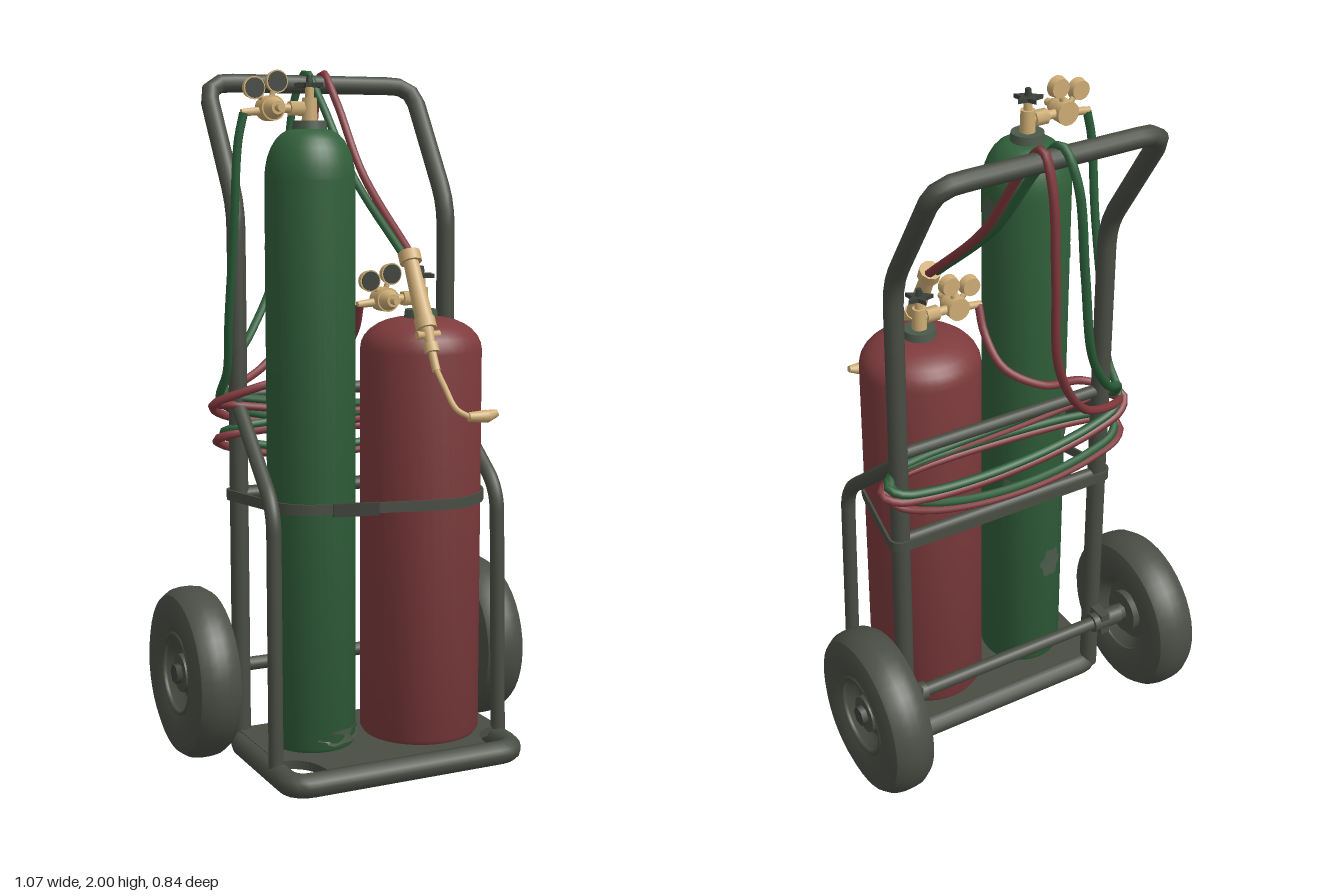
import * as THREE from 'three';
import { toCreasedNormals } from 'three/addons/utils/BufferGeometryUtils.js';

const mat = (name, color) => Object.assign(new THREE.MeshStandardMaterial({ color }), { name });
const V = (x, y, z) => new THREE.Vector3(x, y, z);

export function createModel() {
  const root = new THREE.Group();
  root.name = 'weldingCart';
  const M = {
    frame: mat('frame paint', 0x484d43),
    rubber: mat('rubber', 0x4a4e45),
    green: mat('green bottle', 0x31603b),
    red: mat('red bottle', 0x7e3b3d),
    greenHose: mat('green hose', 0x2b5e39),
    redHose: mat('red hose', 0x80383c),
    brass: mat('brass', 0xcdac74),
    dark: mat('dark fittings', 0x3b4039),
    worn: mat('worn paint', 0x4b5a4a),
  };

  const add = (name, geo, m, parent = root, x = 0, y = 0, z = 0) => {
    const mesh = new THREE.Mesh(geo, m);
    mesh.name = name;
    mesh.position.set(x, y, z);
    parent.add(mesh);
    return mesh;
  };
  // Straight round bar from a to b
  const rod = (name, a, b, r1, r2, m, parent = root, sides = 14) => {
    const mesh = add(name, new THREE.CylinderGeometry(r2, r1, a.distanceTo(b), sides), m, parent);
    mesh.position.copy(a).lerp(b, 0.5);
    mesh.quaternion.setFromUnitVectors(V(0, 1, 0), b.clone().sub(a).normalize());
    return mesh;
  };
  // Pipe through corner points, each corner rounded by a bend
  const pipe = (name, pts, r, bend, closed = false) => {
    const path = new THREE.CurvePath();
    const n = pts.length;
    const toward = (a, b) => a.clone().add(b.clone().sub(a).setLength(bend));
    let last = closed ? toward(pts[0], pts[1]) : pts[0];
    for (let i = 1; i < (closed ? n + 1 : n - 1); i++) {
      const p = pts[i % n];
      const inP = toward(p, pts[(i - 1) % n]);
      const outP = toward(p, pts[(i + 1) % n]);
      path.add(new THREE.LineCurve3(last, inP));
      path.add(new THREE.QuadraticBezierCurve3(inP, p, outP));
      last = outP;
    }
    if (!closed) path.add(new THREE.LineCurve3(last, pts[n - 1]));
    return add(name, new THREE.TubeGeometry(path, 110, r, 12, closed), M.frame);
  };

  // Base frame and plate with scooped front corners
  pipe('baseFrame', [V(-0.35, 0.042, 0.315), V(0.35, 0.042, 0.315), V(0.35, 0.042, -0.11), V(-0.35, 0.042, -0.11)], 0.034, 0.06, true);
  const plate = new THREE.Shape();
  plate.moveTo(-0.35, -0.11);
  plate.lineTo(0.35, -0.11);
  plate.lineTo(0.35, 0.2);
  plate.quadraticCurveTo(0.26, 0.2, 0.25, 0.31);
  plate.lineTo(-0.25, 0.31);
  plate.quadraticCurveTo(-0.26, 0.2, -0.35, 0.2);
  plate.closePath();
  const plateGeo = new THREE.ExtrudeGeometry(plate, { depth: 0.025, bevelEnabled: false });
  plateGeo.rotateX(Math.PI / 2);
  add('basePlate', plateGeo, M.frame, root, 0, 0.078, 0);

  // Handle, side arms and cross bars
  pipe('handle', [V(-0.335, 0.04, -0.11), V(-0.335, 1.6, -0.112), V(-0.335, 1.953, -0.342),
    V(0.335, 1.953, -0.342), V(0.335, 1.6, -0.112), V(0.335, 0.04, -0.11)], 0.027, 0.07);
  for (const s of [-1, 1]) {
    pipe('sideArm', [V(s * 0.355, 0.05, 0.2), V(s * 0.35, 0.79, 0.185), V(s * 0.335, 1.04, -0.11)], 0.021, 0.07);
    add('axleBracket', new THREE.BoxGeometry(0.03, 0.07, 0.1), M.frame, root, s * 0.335, 0.25, -0.145);
    rod('axleSleeve', V(s * 0.3, 0.25, -0.168), V(s * 0.4, 0.25, -0.168), 0.03, 0.03, M.frame);
  }
  for (const y of [0.78, 1.07]) rod('crossBar', V(-0.335, y, -0.11), V(0.335, y, -0.11), 0.018, 0.018, M.frame);
  rod('axle', V(-0.5, 0.25, -0.168), V(0.5, 0.25, -0.168), 0.02, 0.02, M.frame);

  // Wheels
  const lathe = (pts, seg = 40, crease = 0.6) =>
    toCreasedNormals(new THREE.LatheGeometry(pts.map(p => new THREE.Vector2(...p)), seg), crease);
  const half = [[0.118, 0.03], [0.122, 0.055], [0.15, 0.068], [0.195, 0.073], [0.23, 0.06], [0.246, 0.036], [0.25, 0.012]];
  const tyre = [...half.map(([r, y]) => [r, -y]), ...half.slice().reverse()];
  for (const s of [-1, 1]) {
    const wheel = new THREE.Group();
    wheel.name = 'wheel';
    wheel.position.set(s * 0.46, 0.25, -0.168);
    wheel.rotation.z = -s * Math.PI / 2;
    root.add(wheel);
    add('tyre', lathe(tyre), M.rubber, wheel);
    add('rim', lathe([[0, -0.02], [0.095, -0.02], [0.119, -0.05], [0.119, 0.05], [0.1, 0.025], [0.085, 0.015], [0, 0.02]]), M.frame, wheel);
    add('hub', new THREE.CylinderGeometry(0.055, 0.068, 0.09, 20), M.frame, wheel);
    add('hubNut', new THREE.CylinderGeometry(0.03, 0.03, 0.125, 6), M.dark, wheel);
    const ring = add('rimRing', new THREE.TorusGeometry(0.117, 0.008, 6, 36), M.frame, wheel, 0, 0.052, 0);
    ring.rotation.x = Math.PI / 2;
  }

  // Gas bottle: body, collar, valve, star knob and regulator
  const star = new THREE.Shape();
  for (let i = 0; i < 10; i++) {
    const r = i % 2 ? 0.02 : 0.042, a = i * Math.PI / 5;
    star[i ? 'lineTo' : 'moveTo'](r * Math.sin(a), r * Math.cos(a));
  }
  const starGeo = new THREE.ExtrudeGeometry(star, { depth: 0.012, bevelEnabled: false });
  starGeo.rotateX(-Math.PI / 2);
  const bottle = (name, x, z, r, top, shoulder, m) => {
    const g = new THREE.Group();
    g.name = name;
    g.position.set(x, 0, z);
    root.add(g);
    const prof = [[0, 0.077], [r - 0.008, 0.077], [r, 0.09], [r, shoulder]];
    for (let i = 1; i <= 7; i++) {
      const a = i * Math.PI / 14;
      prof.push([0.045 + (r - 0.045) * Math.cos(a), shoulder + (top - 0.02 - shoulder) * Math.sin(a)]);
    }
    prof.push([0, top - 0.02]);
    add('bottleBody', lathe(prof, 36, 0.7), m, g);
    add('collar', new THREE.CylinderGeometry(0.046, 0.05, 0.035, 20), M.worn, g, 0, top - 0.015, 0);

    const v = new THREE.Group();
    v.name = 'valveAndRegulator';
    v.position.y = top;
    g.add(v);
    rod('valveStem', V(0, 0, 0), V(0, 0.065, 0), 0.022, 0.02, M.brass, v);
    rod('valveNeck', V(0, 0.06, 0), V(0, 0.1, 0), 0.012, 0.012, M.brass, v);
    add('starKnob', starGeo, M.dark, v, 0, 0.092, 0);
    rod('knobNut', V(0, 0.1, 0), V(0, 0.125, 0), 0.01, 0.008, M.dark, v, 6);
    rod('inletPipe', V(0, 0.035, 0), V(-0.12, 0.035, 0), 0.013, 0.013, M.brass, v);
    rod('inletNut', V(-0.02, 0.035, 0), V(-0.06, 0.035, 0), 0.022, 0.022, M.brass, v, 6);
    rod('regulatorBody', V(-0.118, 0.035, -0.022), V(-0.118, 0.035, 0.03), 0.034, 0.034, M.brass, v, 18);
    rod('regulatorBonnet', V(-0.118, 0.035, 0.03), V(-0.118, 0.035, 0.06), 0.03, 0.018, M.brass, v, 18);
    rod('regulatorScrew', V(-0.118, 0.035, 0.06), V(-0.118, 0.035, 0.085), 0.011, 0.011, M.brass, v, 8);
    rod('outlet', V(-0.12, 0.03, 0), V(-0.2, 0.022, 0), 0.013, 0.01, M.brass, v, 10);
    for (const [gx, gy] of [[-0.166, 0.088], [-0.1, 0.106]]) {
      rod('gaugeStem', V(-0.118, 0.04, 0), V(gx, gy, 0), 0.008, 0.008, M.brass, v, 8);
      rod('gauge', V(gx, gy, -0.01), V(gx, gy, 0.014), 0.027, 0.031, M.brass, v, 20);
      rod('gaugeFace', V(gx, gy, 0.014), V(gx, gy, 0.017), 0.027, 0.027, M.dark, v, 20);
    }
    return g;
  };
  const greenBottle = bottle('greenBottle', -0.187, 0.07, 0.125, 1.835, 1.68, M.green);
  bottle('redBottle', 0.143, 0.1, 0.174, 1.31, 1.2, M.red);

  // Worn patches wrapped on the green bottle: angle from +z toward +x, height, size
  for (const [ang, y, w, h] of [[1.7, 1.63, 0.045, 0.045], [2.3, 0.72, 0.035, 0.06], [3.9, 0.95, 0.04, 0.07],
    [4.2, 1.5, 0.03, 0.045], [3.4, 0.45, 0.04, 0.05], [0.5, 0.115, 0.09, 0.022]]) {
    const geo = new THREE.CircleGeometry(1, 18);
    const p = geo.attributes.position;
    for (let i = 0; i < p.count; i++) {
      const k = 1 + 0.15 * Math.sin(i * 2.1);
      const a = ang + p.getX(i) * k * w / 0.125;
      p.setXYZ(i, 0.1275 * Math.sin(a), y + p.getY(i) * k * h, 0.1275 * Math.cos(a));
    }
    geo.computeVertexNormals();
    add('wornPatch', geo, M.worn, greenBottle);
  }

  // Strap pulled tight round both bottles and the uprights
  const posts = [[-0.187, 0.07, 0.126], [0.143, 0.1, 0.175], [-0.335, -0.11, 0.028], [0.335, -0.11, 0.028]];
  const loop = extra => Array.from({ length: 72 }, (_, i) => {
    const c = Math.cos(i * Math.PI / 36), s = Math.sin(i * Math.PI / 36);
    const reach = ([x, z, r]) => x * c + z * s + r;
    const [x, z, r] = posts.reduce((a, b) => (reach(b) > reach(a) ? b : a));
    return new THREE.Vector2(x + (r + extra) * c, z + (r + extra) * s);
  });
  const band = new THREE.Shape(loop(0.008));
  band.holes.push(new THREE.Path(loop(0.001)));
  const bandGeo = new THREE.ExtrudeGeometry(band, { depth: 0.03, bevelEnabled: false });
  bandGeo.rotateX(Math.PI / 2);
  add('strap', bandGeo, M.frame, root, 0, 0.795, 0);
  const buckle = add('buckle', new THREE.BoxGeometry(0.13, 0.036, 0.014), M.dark, root, -0.12, 0.778, 0.223);
  buckle.rotation.y = -0.23;

  // Hoses: regulator, two turns round the uprights, over the handle, down to the torch
  const hose = (name, start, end, wide, y0, m) => {
    const coil = [];
    for (let i = 0; i <= 32; i++) {
      const a = Math.PI + i * Math.PI / 8, s = Math.sin(a), c = Math.cos(a);
      const turn = i / 32;
      coil.push(V((wide - 0.02 * turn) * c, y0 + 0.05 * s - 0.1 * Math.sin(turn * Math.PI) - 0.05 * s * s * turn,
        -0.13 + 0.052 * Math.sign(s) * Math.sqrt(Math.abs(s))));
    }
    const curve = new THREE.CatmullRomCurve3([...start, ...coil, ...end]);
    add(name, new THREE.TubeGeometry(curve, 260, 0.0125, 8), m);
  };
  hose('greenHose',
    [V(-0.38, 1.857, 0.07), V(-0.395, 1.78, 0.065), V(-0.4, 1.55, 0.04), V(-0.395, 1.3, -0.02), V(-0.38, 1.14, -0.08)],
    [V(-0.34, 1.12, -0.19), V(-0.22, 1.22, -0.3), V(-0.1, 1.4, -0.39), V(-0.06, 1.65, -0.405), V(-0.035, 1.9, -0.395),
      V(-0.015, 1.987, -0.35), V(0.0, 1.9, -0.27), V(0.035, 1.69, -0.13), V(0.085, 1.46, 0.115)],
    0.385, 1.06, M.greenHose);
  hose('redHose',
    [V(-0.05, 1.332, 0.1), V(-0.045, 1.26, 0.06), V(-0.06, 1.18, -0.02), V(-0.16, 1.12, -0.075), V(-0.3, 1.09, -0.07)],
    [V(-0.32, 1.07, -0.2), V(-0.16, 1.15, -0.28), V(-0.01, 1.38, -0.37), V(0.025, 1.65, -0.4), V(0.035, 1.9, -0.39),
      V(0.04, 1.987, -0.35), V(0.05, 1.9, -0.27), V(0.07, 1.69, -0.13), V(0.108, 1.46, 0.115)],
    0.405, 1.04, M.redHose);

  // Torch hanging in front of the red bottle
  const torch = new THREE.Group();
  torch.name = 'torch';
  root.add(torch);
  const A = V(0.097, 1.475, 0.112), B = V(0.092, 1.08, 0.335);
  const at = t => A.clone().lerp(B, t);
  for (const [t0, t1, r0, r1] of [[0, 0.07, 0.032, 0.032], [0.07, 0.45, 0.022, 0.026], [0.45, 0.52, 0.03, 0.03],
    [0.52, 0.62, 0.02, 0.015], [0.62, 0.68, 0.022, 0.022], [0.68, 0.8, 0.012, 0.012]]) {
    rod('torchHandle', at(t0), at(t1), r0, r1, M.brass, torch, 10);
  }
  for (const s of [-1, 1]) {
    const c = at(0.56);
    rod('torchValve', c, c.clone().add(V(s * 0.035, 0, 0)), 0.01, 0.012, M.brass, torch, 8);
  }
  const neck = new THREE.CatmullRomCurve3([at(0.78), V(0.095, 1.12, 0.335), V(0.105, 1.065, 0.385), V(0.14, 1.043, 0.398)]);
  add('torchNeck', new THREE.TubeGeometry(neck, 24, 0.008, 8), M.brass, torch);
  rod('torchTip', V(0.135, 1.044, 0.398), V(0.19, 1.043, 0.4), 0.013, 0.018, M.brass, torch, 10);
  rod('torchNozzle', V(0.19, 1.043, 0.4), V(0.222, 1.05, 0.4), 0.018, 0.01, M.brass, torch, 10);

  return root;
}
